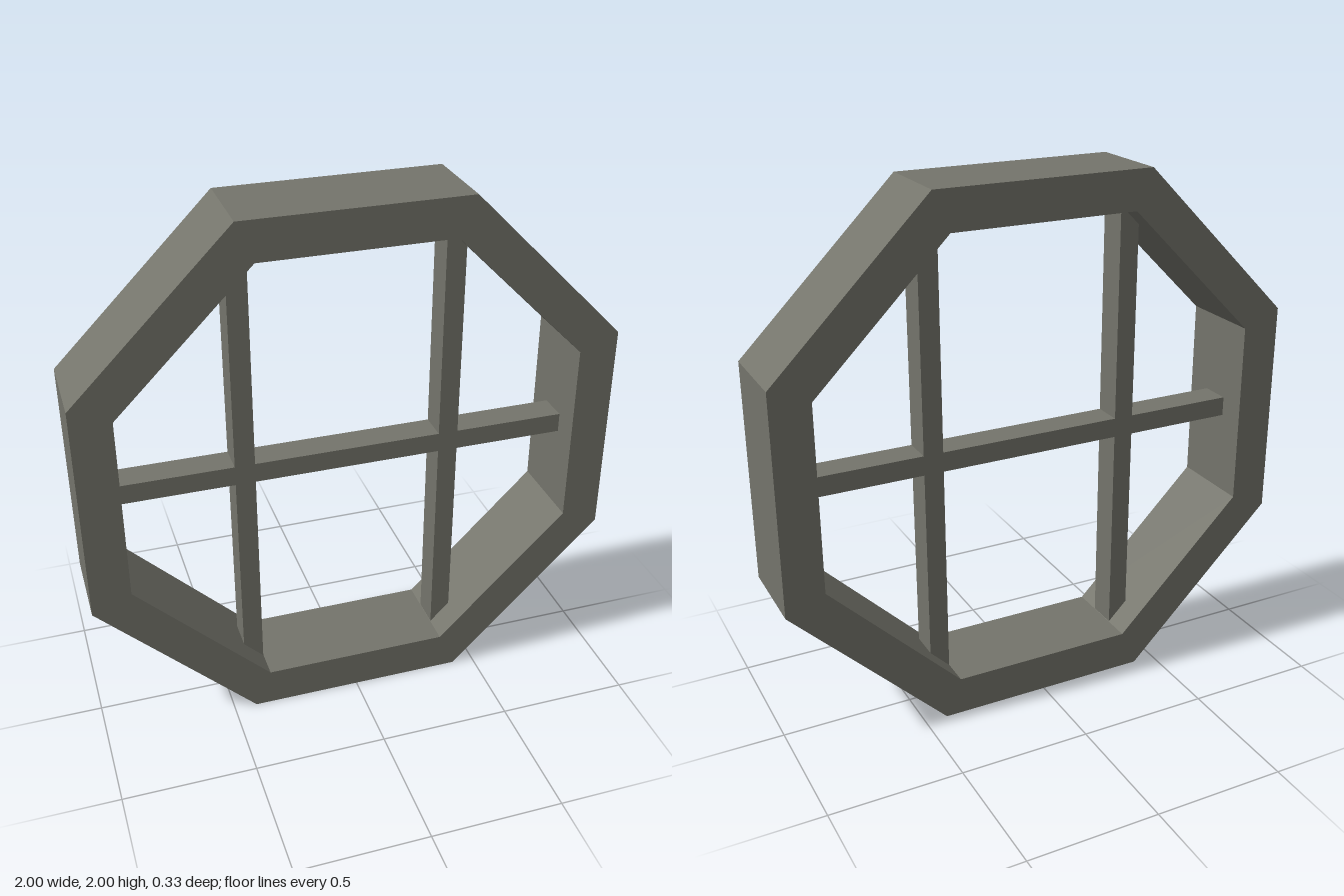
import * as THREE from 'three';

const CENTRE_Y = 1, FRAME_DEPTH = 0.33, BAR = 0.075, BAR_DEPTH = 0.115;
const OUTER = 1, INNER = 0.853; // centre-to-side distances of the octagons

// Corners of a regular octagon with flat top, bottom and sides
function octagon(apothem) {
  const r = apothem / Math.cos(Math.PI / 8);
  return Array.from({ length: 8 }, (_, i) => {
    const a = Math.PI / 8 + i * Math.PI / 4;
    return new THREE.Vector2(r * Math.cos(a), r * Math.sin(a));
  });
}

export function createModel() {
  const model = new THREE.Group();
  model.name = 'octagonalWindow';
  const paint = new THREE.MeshStandardMaterial({ color: 0x74746b });
  paint.name = 'warm grey';

  const add = (name, geometry, x, y, z) => {
    const mesh = new THREE.Mesh(geometry, paint);
    mesh.name = name;
    mesh.position.set(x, y, z);
    model.add(mesh);
  };

  // Octagonal frame
  const shape = new THREE.Shape(octagon(OUTER));
  shape.holes.push(new THREE.Path(octagon(INNER).reverse()));
  add('frame', new THREE.ExtrudeGeometry(shape, { depth: FRAME_DEPTH, bevelEnabled: false }),
    0, CENTRE_Y, -FRAME_DEPTH / 2);

  // Horizontal glazing bar across the middle
  add('horizontalBar', new THREE.BoxGeometry(2 * INNER, BAR, BAR_DEPTH), 0, CENTRE_Y, 0);

  // Vertical glazing bars, above and below the horizontal one
  const length = INNER - BAR / 2;
  for (const [side, sx] of [['left', 1], ['right', -1]]) {
    for (const [level, sy] of [['Upper', 1], ['Lower', -1]]) {
      add(`${side}${level}Bar`, new THREE.BoxGeometry(BAR, length, BAR_DEPTH),
        sx * 0.392, CENTRE_Y + sy * (BAR / 2 + length / 2), 0);
    }
  }
  return model;
}
